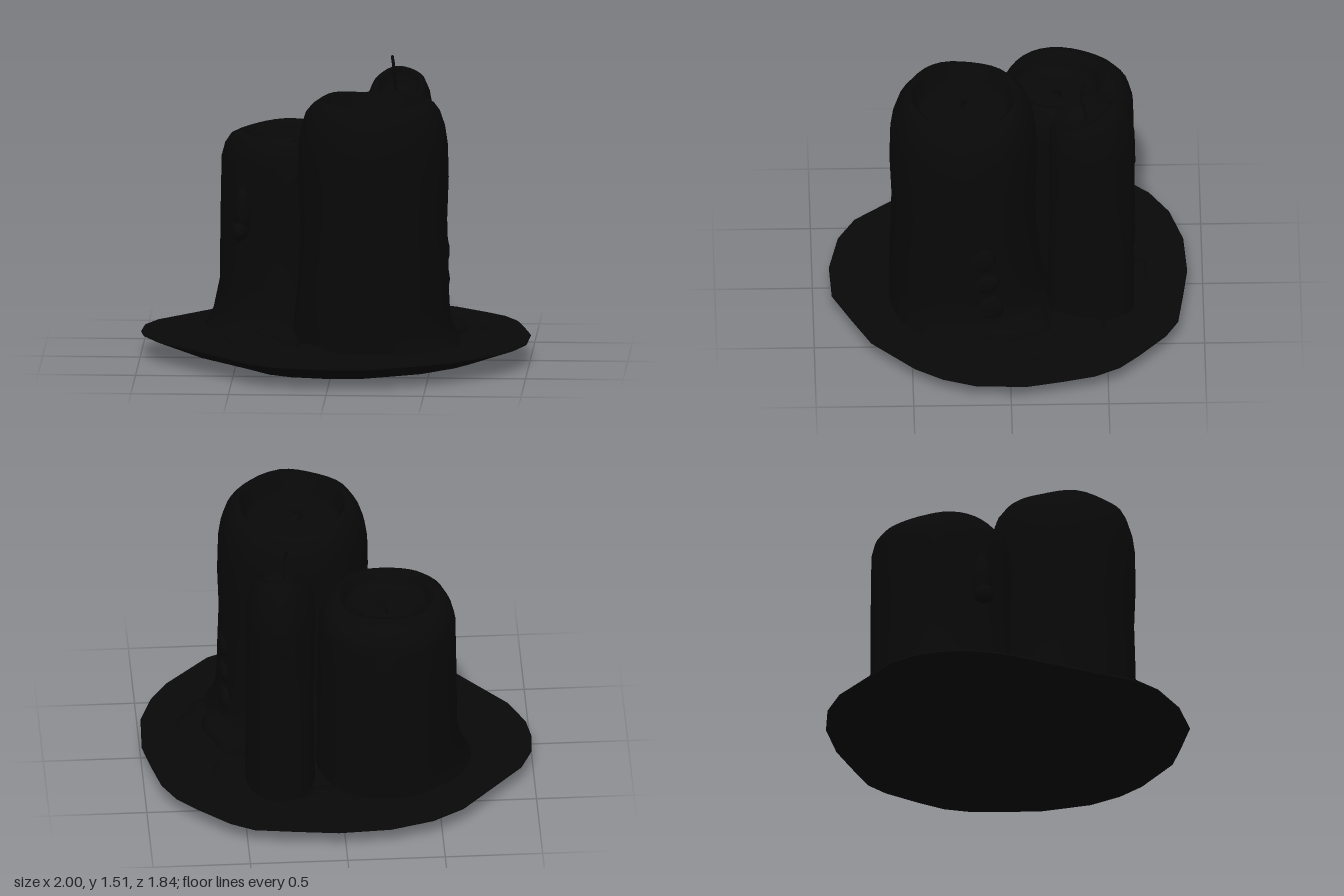
import * as THREE from 'three';
import { toCreasedNormals } from 'three/addons/utils/BufferGeometryUtils.js';

const wax = new THREE.MeshStandardMaterial({ color: 0x080808 });
wax.name = 'blackWax';

// Closed loft: rings x sides, point(i, j) gives [x, y, z]; rings run upward on the outside
function loft(rings, sides, point) {
  const pos = [], idx = [];
  for (let i = 0; i < rings; i++) {
    for (let j = 0; j < sides; j++) {
      pos.push(...point(i, j));
      if (i === rings - 1) continue;
      const k = (j + 1) % sides;
      const a = i * sides + j, b = i * sides + k;
      idx.push(a, a + sides, b, b, a + sides, b + sides);
    }
  }
  const g = new THREE.BufferGeometry();
  g.setAttribute('position', new THREE.Float32BufferAttribute(pos, 3));
  g.setIndex(idx);
  g.computeVertexNormals();
  return g;
}

function mesh(name, geometry) {
  const m = new THREE.Mesh(geometry, wax);
  m.name = name;
  return m;
}

// Spread of the foot toward direction dir, fading out at the given height
const foot = (a, y, dir, amount, height) =>
  amount * Math.max(0, Math.cos(a - dir)) * Math.max(0, 1 - (y - 0.12) / (height - 0.12)) ** 1.5;

// Candle from a [radius, y, z shift] profile; shape scales the radius, lift moves the top
function candle(name, cx, cz, rx, rz, profile, shape, lift) {
  const sides = 36;
  return mesh(name, loft(profile.length, sides, (i, j) => {
    const a = j / sides * Math.PI * 2, [r, y, dz = 0] = profile[i];
    const s = r * shape(a, y);
    const x = Math.cos(a) * s * rx, z = Math.sin(a) * s * rz + dz;
    return [cx + x, y + lift(y, z, a), cz + z];
  }));
}

// Lobed pool of set wax lying on the dish
function puddle(name, cx, cz, rx, rz, top, lobes, phase) {
  const rings = [[1, 0.125], [0.98, 0.6 * top + 0.05], [0.85, top - 0.01], [0.5, top], [0, top]];
  const sides = 40;
  return mesh(name, loft(rings.length, sides, (i, j) => {
    const a = j / sides * Math.PI * 2, [r, y] = rings[i];
    const s = r * (1 + 0.08 * Math.sin(a * lobes + phase) + 0.05 * Math.sin(a * 3 + phase * 2));
    return [cx + Math.cos(a) * rx * s, y, cz + Math.sin(a) * rz * s];
  }));
}

// Run of wax down a candle side
function drip(name, x, y, z, rx, ry, rz) {
  const m = mesh(name, new THREE.SphereGeometry(1, 12, 10));
  m.position.set(x, y, z);
  m.scale.set(rx, ry, rz);
  return m;
}

function wick(name, points, r) {
  const curve = new THREE.CatmullRomCurve3(points.map(p => new THREE.Vector3(...p)));
  const g = new THREE.Group();
  g.name = name;
  const tip = mesh(name + 'Tip', new THREE.SphereGeometry(r, 6, 4));
  tip.position.copy(curve.getPoint(1));
  g.add(mesh(name + 'Stem', new THREE.TubeGeometry(curve, 8, r, 6)), tip);
  return g;
}

export function createModel() {
  const model = new THREE.Group();
  model.name = 'candlesOnDish';

  // Shallow irregular dish, its underside lowest off to one side
  const outline = [[-1, -0.1], [-0.99, -0.24], [-0.93, -0.38], [-0.77, -0.56], [-0.61, -0.74],
    [-0.45, -0.84], [-0.23, -0.905], [0.04, -0.92], [0.25, -0.895], [0.47, -0.865], [0.59, -0.8],
    [0.75, -0.66], [0.85, -0.56], [0.92, -0.43], [0.96, -0.27], [1, -0.08], [0.99, 0.18],
    [0.93, 0.35], [0.84, 0.49], [0.62, 0.71], [0.42, 0.81], [0.22, 0.905], [-0.02, 0.915],
    [-0.26, 0.865], [-0.41, 0.78], [-0.58, 0.57], [-0.9, 0.2], [-0.98, 0.03]];
  const dishRings = [[0, 0, 0.5], [0.32, 0.016, 0.28], [0.75, 0.026, 0], [1, 0.115, 0],
    [0.995, 0.125, 0], [0.82, 0.138, 0], [0.55, 0.138, 0], [0, 0.138, 0]];
  const dish = loft(dishRings.length, outline.length, (i, j) => {
    const [s, y, dx] = dishRings[i];
    return [outline[j][0] * s + dx, y, outline[j][1] * s];
  });
  model.add(mesh('dish', toCreasedNormals(dish, 0.6)));

  // Large front candle, its foot spreading to the right and the back
  model.add(candle('largeCandle', 0.208, 0.232, 0.387, 0.378,
    [[1, 0.12], [1, 0.16], [1, 0.2], [1, 0.25], [1, 0.34], [0.99, 0.55], [0.975, 0.78],
      [1, 1], [0.99, 1.17], [0.955, 1.26], [0.89, 1.335], [0.81, 1.378], [0.73, 1.4],
      [0.68, 1.385], [0.63, 1.31], [0.58, 1.285], [0, 1.28]],
    (a, y) => 1 + 0.005 * Math.sin(5 * a + 4 * y)
      + foot(a, y, -0.2, 0.22, 0.3) + foot(a, y, -2.1, 0.22, 0.5),
    (y, z, a) => y > 1.34 ? 0.008 * Math.sin(a) + 0.006 * Math.sin(5 * a + 1) : 0));

  // Medium candle with its foot spreading to the front left
  model.add(candle('mediumCandle', -0.245, -0.295, 0.358, 0.36,
    [[1.01, 0.12], [1.01, 0.17], [1, 0.21], [1, 0.36], [0.99, 0.7], [0.98, 1.0], [0.93, 1.07],
      [0.84, 1.12, 0.01], [0.72, 1.145, 0.03], [0.65, 1.14, 0.04], [0.61, 1.1, 0.045],
      [0.56, 1.05, 0.045], [0.3, 1.035, 0.035], [0, 1.03, 0.035]],
    (a, y) => 1 + 0.008 * Math.sin(4 * a + 3 * y) + foot(a, y, 2.4, 0.3, 0.32),
    (y, z, a) => y > 1.09 ? 0.008 * Math.sin(3 * a) - 0.008 * Math.max(0, Math.sin(a)) : 0));

  // Slim back candle, its melted top sloping down to a lip at the front
  model.add(candle('slimCandle', 0.31, -0.422, 0.178, 0.222,
    [[1.01, 0.12], [1, 0.2], [0.99, 0.4], [0.96, 0.7], [0.97, 1.0], [1, 1.12], [0.98, 1.2],
      [0.9, 1.295, 0.02], [0.78, 1.355, 0.03], [0.66, 1.375, 0.035], [0.56, 1.35, 0.02],
      [0.5, 1.315], [0.25, 1.3], [0, 1.3]],
    (a, y) => 1 + 0.02 * Math.sin(5 * a + 3 * y),
    (y, z) => -z * 0.46 * THREE.MathUtils.smoothstep(y, 1.1, 1.35)));

  // Wicks
  model.add(
    wick('largeWick', [[0.17, 1.26, 0.23], [0.17, 1.33, 0.23], [0.2, 1.345, 0.22]], 0.01),
    wick('mediumWick', [[-0.245, 1.0, -0.27], [-0.24, 1.07, -0.27], [-0.21, 1.09, -0.24]], 0.01),
    wick('slimWick', [[0.295, 1.27, -0.4], [0.29, 1.37, -0.385], [0.285, 1.44, -0.37],
      [0.275, 1.505, -0.385]], 0.008));

  // Pools of wax around the feet
  model.add(
    puddle('leftPuddle', -0.36, 0.27, 0.2, 0.11, 0.17, 6, 0.6),
    puddle('leftInnerPuddle', -0.24, 0.2, 0.15, 0.16, 0.195, 4, 2),
    puddle('frontPuddle', -0.06, 0.42, 0.13, 0.12, 0.16, 5, 1.2),
    puddle('rightPuddle', 0.58, 0.02, 0.22, 0.31, 0.16, 7, 0.2),
    puddle('rightUpperPuddle', 0.52, 0.03, 0.15, 0.25, 0.21, 5, 1),
    puddle('backRightPuddle', 0.5, -0.33, 0.15, 0.15, 0.165, 5, 2.4),
    puddle('backPuddle', 0.07, -0.62, 0.13, 0.1, 0.155, 6, 1.6));

  // Drips running down the sides
  model.add(
    drip('mediumDrip', -0.475, 0.76, -0.02, 0.045, 0.13, 0.055),
    drip('mediumLowDrip', -0.49, 0.66, 0, 0.045, 0.05, 0.055),
    drip('slimDrip', 0.31, 1.05, -0.622, 0.04, 0.06, 0.028));
  [[0.6, 0.09], [0.45, 0.07], [0.29, 0.09]].forEach(([y, h], i) =>
    model.add(drip('largeSideDrip' + (i + 1), 0.555, y, 0.16 - i * 0.02, 0.04, h, 0.09)));

  return model;
}
